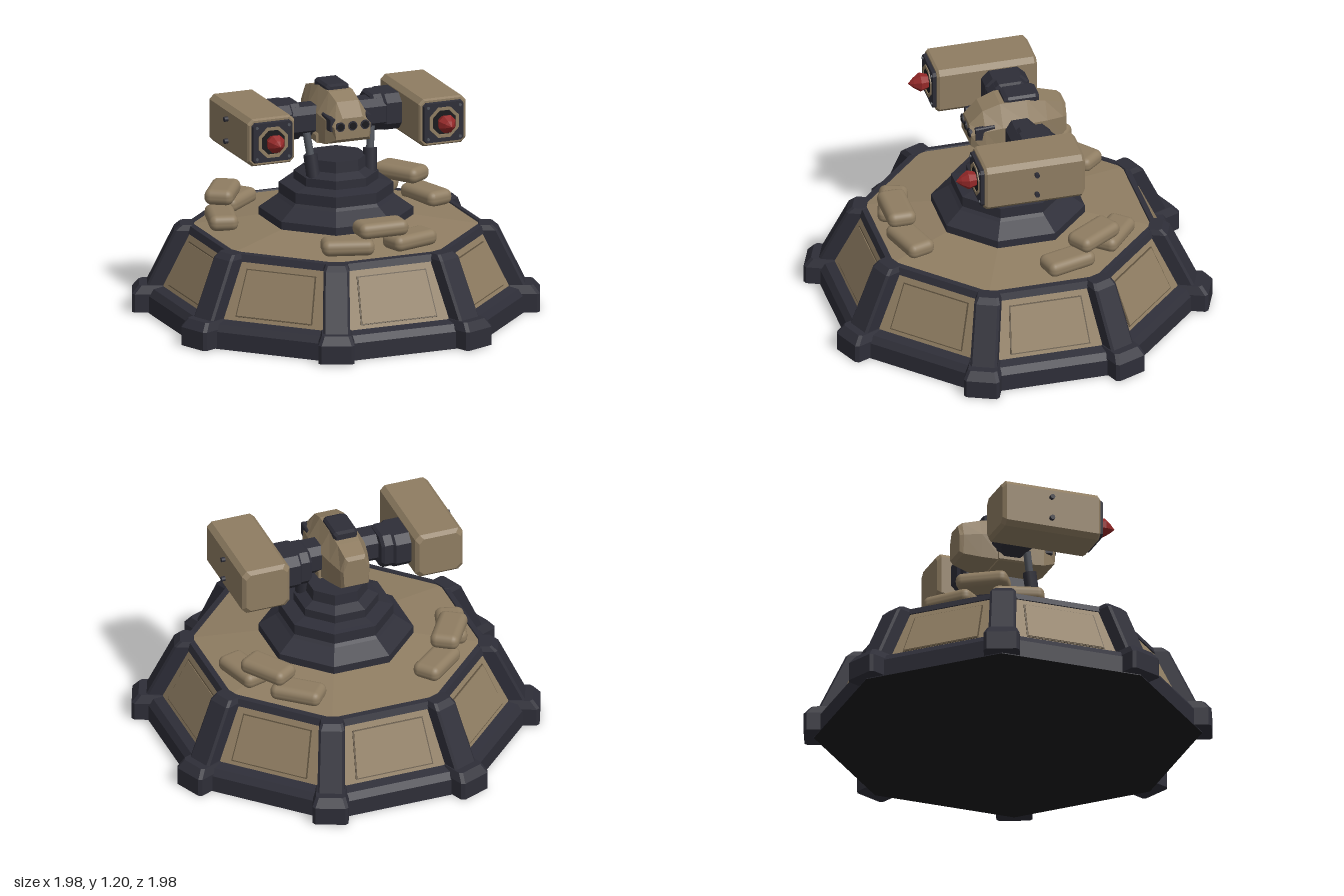
import * as THREE from 'three';
import { RoundedBoxGeometry } from 'three/addons/geometries/RoundedBoxGeometry.js';

const mat = (name, color) => Object.assign(new THREE.MeshStandardMaterial({ color }), { name });
const tan = mat('sand armour', 0x8f7d62);
const dark = mat('dark steel', 0x2e2e38);
const seam = mat('panel seam', 0x5f523f);
const black = mat('black', 0x1a1a1d);
const grey = mat('piston steel', 0x50545c);
const red = mat('warhead red', 0x942828);

function add(parent, name, geometry, material, x = 0, y = 0, z = 0) {
  const m = new THREE.Mesh(geometry, material);
  m.name = name;
  m.position.set(x, y, z);
  parent.add(m);
  return m;
}

function flat(geometry) {
  const g = geometry.index ? geometry.toNonIndexed() : geometry;
  g.computeVertexNormals();
  return g;
}

// Eight-sided solid from [apothem, y] profile points, flats facing the axes
function octagon(profile) {
  const k = 1 / Math.cos(Math.PI / 8);
  const pts = profile.map(([a, y]) => new THREE.Vector2(a * k, y));
  return flat(new THREE.LatheGeometry(pts, 8, Math.PI / 8));
}

// Skin between equal rings of points, with both ends capped
function loft(rings) {
  const pos = [];
  const tri = (...p) => p.forEach(v => pos.push(...v));
  const n = rings[0].length;
  for (let i = 0; i < rings.length - 1; i++) {
    for (let j = 0; j < n; j++) {
      const k = (j + 1) % n, a = rings[i], b = rings[i + 1];
      tri(a[j], a[k], b[k]);
      tri(a[j], b[k], b[j]);
    }
  }
  const first = rings[0], last = rings[rings.length - 1];
  for (let j = 1; j < n - 1; j++) {
    tri(first[0], first[j + 1], first[j]);
    tri(last[0], last[j], last[j + 1]);
  }
  const g = new THREE.BufferGeometry();
  g.setAttribute('position', new THREE.Float32BufferAttribute(pos, 3));
  return flat(g);
}

// Rectangle with cut corners
const cutRect = (w, h, c) => [[w, c - h], [w, h - c], [w - c, h], [c - w, h],
  [-w, h - c], [-w, c - h], [c - w, -h], [w - c, -h]];

// Upright post: rows of [y, inner z, outer z, half width]
const post = (rows, c) => loft(rows.map(([y, z0, z1, w]) =>
  cutRect((z1 - z0) / 2, w, c).map(([u, v]) => [v, y, u + (z0 + z1) / 2])));

// Block along z: rows of [z, half width, half height]
const block = (rows, c) => loft(rows.map(([z, w, h]) => cutRect(w, h, c).map(([u, v]) => [u, v, z])));

function rod(parent, name, a, b, r, material) {
  const p = new THREE.Vector3(...a), q = new THREE.Vector3(...b);
  const m = add(parent, name, new THREE.CylinderGeometry(r, r, p.distanceTo(q), 10), material);
  m.position.copy(p).add(q).multiplyScalar(0.5);
  m.quaternion.setFromUnitVectors(new THREE.Vector3(0, 1, 0), q.sub(p).normalize());
}

function trapezoid(bottom, top, h, depth) {
  const s = new THREE.Shape([[-bottom, -h], [bottom, -h], [top, h], [-top, h]].map(p => new THREE.Vector2(...p)));
  return new THREE.ExtrudeGeometry(s, { depth, bevelEnabled: false });
}

function buildBase() {
  const base = new THREE.Group();
  base.name = 'base';
  add(base, 'underside', octagon([[0, 0], [0.915, 0]]), black);
  add(base, 'curb', octagon([[0.915, 0], [0.915, 0.09], [0.89, 0.125], [0.835, 0.14]]), dark);
  add(base, 'walls', octagon([[0.845, 0.13], [0.71, 0.425]]), tan);
  add(base, 'rim', octagon([[0.70, 0.417], [0.722, 0.417], [0.708, 0.452], [0.68, 0.456], [0.675, 0.445]]), dark);
  add(base, 'deck', octagon([[0.69, 0.447], [0.34, 0.503]]), tan);
  for (let k = 0; k < 8; k++) {
    // Corner buttress and its foot
    const corner = new THREE.Group();
    corner.name = 'buttress';
    corner.rotation.y = (k + 0.5) * Math.PI / 4;
    add(corner, 'foot', post([[0.004, 0.86, 1.04, 0.092], [0.1, 0.86, 1.04, 0.092], [0.143, 0.87, 1.005, 0.075]], 0.015), dark);
    add(corner, 'buttressPost', post([[0.1, 0.84, 0.985, 0.07], [0.43, 0.72, 0.825, 0.066], [0.457, 0.725, 0.795, 0.055]], 0.012), dark);
    // Raised plate on the sloped wall
    const side = new THREE.Group();
    side.name = 'wallPanel';
    side.rotation.y = k * Math.PI / 4;
    const plate = new THREE.Group();
    plate.position.set(0, 0.27, 0.781);
    plate.rotation.x = -0.429;
    add(plate, 'panelSeam', trapezoid(0.211, 0.191, 0.126, 0.004), seam);
    add(plate, 'panelPlate', trapezoid(0.204, 0.184, 0.12, 0.008), tan);
    side.add(plate);
    base.add(corner, side);
  }
  return base;
}

function buildSandbags() {
  const all = new THREE.Group();
  all.name = 'sandbags';
  const bag = new RoundedBoxGeometry(0.27, 0.082, 0.15, 3, 0.036);
  for (const turn of [0, 123, -123]) {
    for (const [angle, y] of [[-17, 0.502], [17, 0.502], [0, 0.588]]) {
      const a = THREE.MathUtils.degToRad(turn + angle);
      add(all, 'sandbag', bag, tan, Math.sin(a) * 0.588, y, Math.cos(a) * 0.588).rotation.y = a;
    }
  }
  return all;
}

function buildHead() {
  const head = new THREE.Group();
  head.name = 'head';
  // Rows: z, top half width, top y, middle half width, bottom half width, bottom y
  const rows = [[-0.29, 0.045, 1.11, 0.07, 0.065, 0.96], [-0.27, 0.055, 1.125, 0.08, 0.075, 0.945],
    [-0.18, 0.06, 1.15, 0.105, 0.1, 0.93], [-0.08, 0.065, 1.172, 0.125, 0.125, 0.92],
    [0.06, 0.065, 1.172, 0.13, 0.13, 0.915], [0.15, 0.06, 1.14, 0.12, 0.125, 0.925], [0.22, 0.055, 1.07, 0.1, 0.09, 0.96]];
  add(head, 'headShell', loft(rows.map(([z, t, yt, m, b, yb]) => {
    const ym = yb + (yt - yb) * 0.58;
    return [[b, yb], [m, ym], [t, yt], [-t, yt], [-m, ym], [-b, yb]].map(([x, y]) => [x, y, z]);
  })), tan);
  add(head, 'headSkirt', block([[-0.1, 0.135, 0.025], [0.08, 0.145, 0.025]], 0.008), tan, 0, 0.938, 0);
  add(head, 'hatch', block([[-0.15, 0.055, 0.022], [-0.13, 0.064, 0.03], [0.015, 0.064, 0.03], [0.035, 0.055, 0.022]], 0.012), dark, 0, 1.166, 0);
  for (const x of [-0.068, 0, 0.068]) {
    add(head, 'lensRim', new THREE.CylinderGeometry(0.025, 0.025, 0.02, 12), dark, x, 1.028, 0.215).rotation.x = Math.PI / 2;
    add(head, 'lens', new THREE.CylinderGeometry(0.018, 0.018, 0.02, 12), black, x, 1.028, 0.219).rotation.x = Math.PI / 2;
  }
  for (const s of [-1, 1]) {
    add(head, 'cheek', block([[0.1, 0.014, 0.045], [0.2, 0.014, 0.035]], 0.006), dark, s * 0.113, 1.035, 0).rotation.y = -s * 0.06;
  }
  return head;
}

function buildLauncher(side) {
  const g = new THREE.Group();
  g.name = side > 0 ? 'leftLauncher' : 'rightLauncher';
  g.position.set(side * 0.4725, 1.015, 0);
  add(g, 'launcherBox', block([[-0.25, 0.112, 0.107], [-0.232, 0.13, 0.125], [0.268, 0.13, 0.125], [0.28, 0.122, 0.117]], 0.025), tan);
  add(g, 'muzzlePlate', block([[0.27, 0.113, 0.108], [0.298, 0.108, 0.103]], 0.015), dark);
  const front = new THREE.Group();
  front.name = 'tube';
  front.rotation.x = Math.PI / 2;
  front.position.z = 0.29;
  add(front, 'tubeRing', octagon([[0.08, 0], [0.08, 0.013], [0.064, 0.013], [0.06, 0]]), tan);
  add(front, 'tubeMouth', octagon([[0.062, 0.009], [0, 0.009]]), black);
  add(front, 'warhead', octagon([[0.032, 0], [0.046, 0.05], [0.024, 0.085], [0, 0.112]]), red);
  g.add(front);
  for (const y of [-0.057, 0.06]) {
    add(g, 'sideBolt', new THREE.CylinderGeometry(0.013, 0.013, 0.025, 10), dark, side * 0.138, y, 0.01).rotation.z = Math.PI / 2;
  }
  for (const x of [-0.088, 0.088]) for (const y of [-0.083, 0.083]) {
    add(g, 'plateBolt', new THREE.CylinderGeometry(0.008, 0.008, 0.008, 8), grey, x, y, 0.3).rotation.x = Math.PI / 2;
  }
  return g;
}

export function createModel() {
  const model = new THREE.Group();
  model.name = 'missileTurret';
  model.add(buildBase(), buildSandbags());
  // Stepped pedestal
  add(model, 'pedestal', octagon([[0.365, 0.49], [0.365, 0.54], [0.285, 0.6], [0.27, 0.615], [0.27, 0.672], [0.245, 0.678],
    [0.2, 0.69], [0.2, 0.735], [0.15, 0.762], [0.145, 0.82], [0, 0.82]]), dark);
  model.add(buildHead());
  for (const s of [-1, 1]) {
    // Support pistons
    rod(model, 'pistonSleeve', [s * 0.155, 0.73, 0.075], [s * 0.165, 0.85, 0.055], 0.036, dark);
    rod(model, 'pistonRod', [s * 0.163, 0.83, 0.058], [s * 0.178, 0.96, 0.036], 0.02, grey);
    // Side arm and launcher mount
    const arm = new THREE.Group();
    arm.name = s > 0 ? 'leftArm' : 'rightArm';
    arm.rotation.y = s * Math.PI / 2;
    add(arm, 'armShaft', block([[0.08, 0.078, 0.078], [0.26, 0.078, 0.078]], 0.035), dark, s * 0.03, 1.015, 0);
    add(arm, 'armMount', block([[0.19, 0.09, 0.085], [0.205, 0.1, 0.095], [0.25, 0.1, 0.095], [0.262, 0.115, 0.095], [0.35, 0.115, 0.095]], 0.04), dark, s * 0.065, 1.015, 0);
    model.add(arm, buildLauncher(s));
  }
  return model;
}
